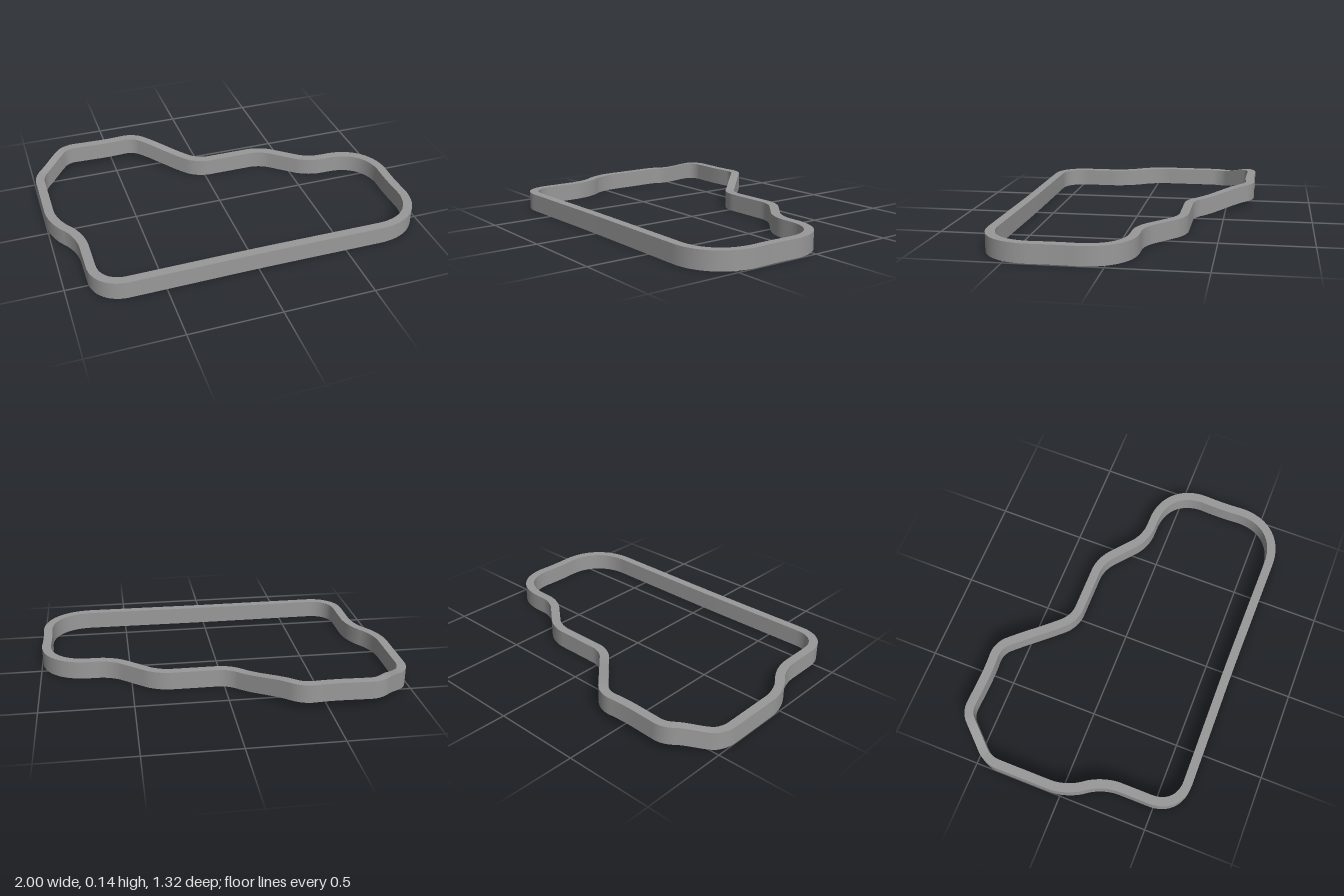
import * as THREE from 'three';

const WIDTH = 0.05, HEIGHT = 0.1, RISE = 0.04, STEPS = 480;

// Centre line corners: x, z, length of the rounding on each side
const CORNERS = [
  [0, 0.626, 0.15], [0.985, 0.635, 0.28], [0.966, 0.25, 0.08], [0.985, -0.102, 0.25],
  [0.6, -0.106, 0.08], [0.36, -0.305, 0.075], [-0.034, -0.305, 0.07], [-0.362, -0.642, 0.06],
  [-0.51, -0.63, 0.07], [-0.776, -0.64, 0.05], [-0.975, -0.434, 0.06],
  [-0.975, 0.03, 0.1], [-0.85, 0.2, 0.1], [-0.85, 0.633, 0.16],
];

// Closed centre line of straights joined by soft bends
function centreLine() {
  const pts = CORNERS.map(([x, z]) => new THREE.Vector2(x, z));
  const n = pts.length;
  const toward = (a, b, d) => a.clone().add(b.clone().sub(a).setLength(d));
  const path = new THREE.CurvePath();
  for (let i = 0; i < n; i++) {
    const p = pts[i], prev = pts[(i + n - 1) % n], next = pts[(i + 1) % n], r = CORNERS[i][2];
    const start = toward(p, prev, r), end = toward(p, next, r);
    path.add(new THREE.CubicBezierCurve(
      start, start.clone().lerp(p, 0.6), end.clone().lerp(p, 0.6), end));
    const k = (i + 1) % n;
    path.add(new THREE.LineCurve(end, toward(pts[k], p, CORNERS[k][2])));
  }
  return path;
}

// The back left stretch climbs on two ramps
function lift(x, z) {
  return RISE * THREE.MathUtils.smoothstep(-z, x < -0.55 ? 0.45 : 0.34, 0.62);
}

// Rectangular section swept along the line, each of its four sides a smooth strip
function bandGeometry() {
  const path = centreLine();
  const rings = [];
  for (let i = 0; i < STEPS; i++) {
    const p = path.getPointAt(i / STEPS), t = path.getTangentAt(i / STEPS);
    const y = lift(p.x, p.y), ox = -t.y * WIDTH / 2, oz = t.x * WIDTH / 2;
    rings.push([
      [p.x + ox, y, p.y + oz], [p.x + ox, y + HEIGHT, p.y + oz],
      [p.x - ox, y + HEIGHT, p.y - oz], [p.x - ox, y, p.y - oz],
    ]);
  }
  const position = [], index = [];
  for (let side = 0; side < 4; side++) {
    const base = side * STEPS * 2;
    for (let i = 0; i < STEPS; i++) {
      position.push(...rings[i][side], ...rings[i][(side + 1) % 4]);
      const a = base + i * 2, b = base + ((i + 1) % STEPS) * 2;
      index.push(a, b, b + 1, a, b + 1, a + 1);
    }
  }
  const geometry = new THREE.BufferGeometry();
  geometry.setAttribute('position', new THREE.Float32BufferAttribute(position, 3));
  geometry.setIndex(index);
  geometry.computeVertexNormals();
  return geometry;
}

export function createModel() {
  const group = new THREE.Group();
  group.name = 'circuit';
  const band = new THREE.Mesh(bandGeometry(), new THREE.MeshStandardMaterial({ color: 0x999999 }));
  band.name = 'trackBand';
  group.add(band);
  return group;
}
